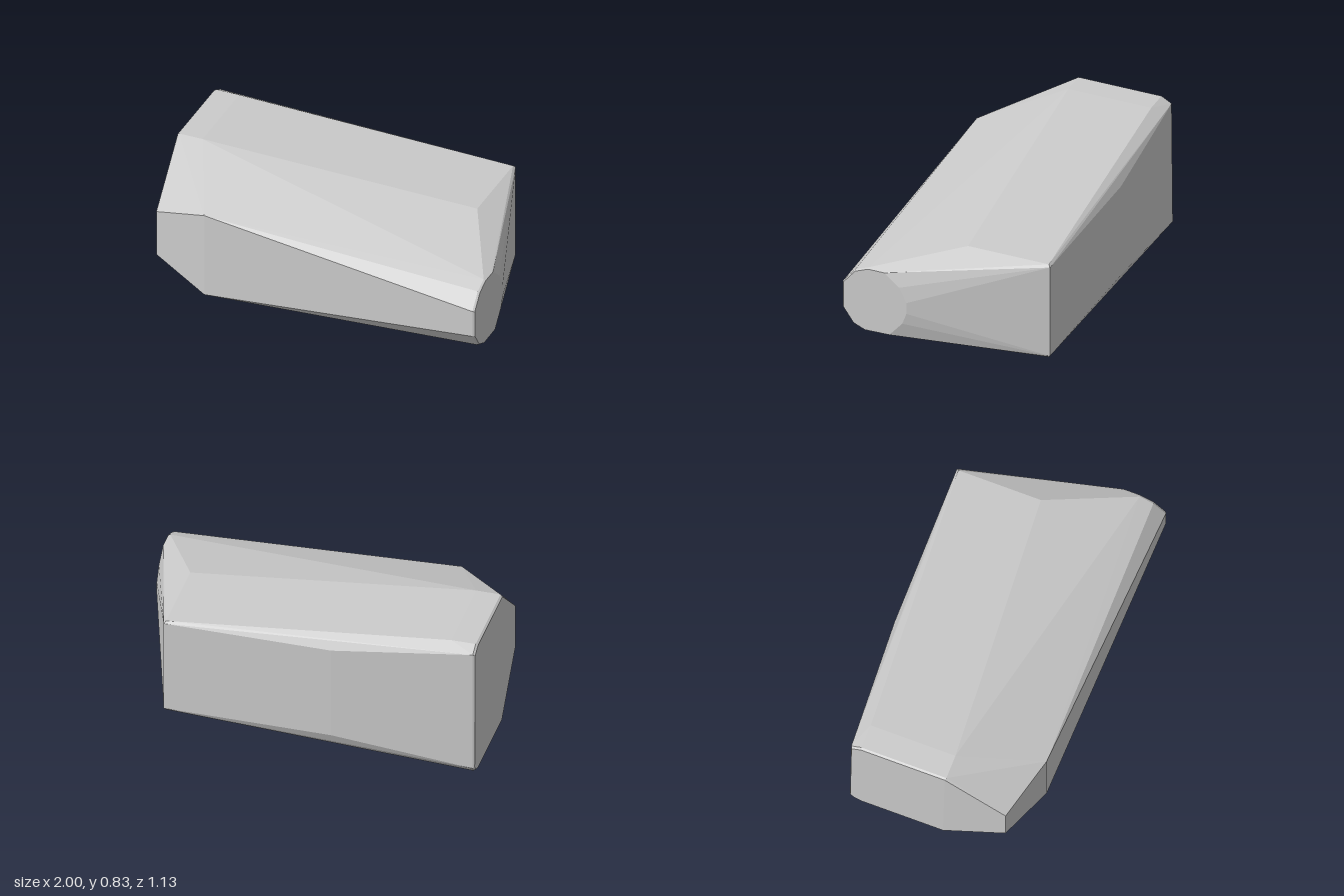
import * as THREE from 'three';
import { ConvexGeometry } from 'three/addons/geometries/ConvexGeometry.js';

export function createModel() {
  const group = new THREE.Group();
  const points = [];
  const add = (x, y, z) => points.push(new THREE.Vector3(x, y, z));

  // Adds an outline of [z, y] corners at x, shrunk about its middle.
  const ring = (x, corners, cz, cy, scale) => {
    for (const [z, y] of corners) add(x, cy + (y - cy) * scale, cz + (z - cz) * scale);
  };

  // Small faceted end, with a narrow bevel
  const smallEnd = [
    [0.563, 0.325], [0.563, 0.485], [0.49, 0.573], [0.41, 0.605], [0.31, 0.605],
    [0.22, 0.53], [0.175, 0.44], [0.175, 0.37], [0.2, 0.3], [0.28, 0.208],
    [0.43, 0.205], [0.5, 0.235],
  ];
  ring(0.988, smallEnd, 0.37, 0.405, 1);
  ring(1, smallEnd, 0.37, 0.405, 0.97);

  // Large end, with a narrow bevel
  const largeEnd = [
    [0.04, 0.828], [-0.455, 0.828], [-0.515, 0.795],
    [-0.522, 0.05], [-0.5, 0.02], [-0.455, 0.003], [0.03, 0.003],
  ];
  ring(-0.988, largeEnd, -0.24, 0.415, 1);
  ring(-1, largeEnd, -0.24, 0.415, 0.98);

  // Upper and lower ridges
  for (const [y0, y1, z] of [[0.828, 0.72, 0.04], [0.002, 0.134, 0.03]]) {
    add(-0.85, y0, z);
    add(-0.85, y0, -0.455);
    add(0.738, y1, -0.07);
    add(0.738, y1, -0.552);
  }

  // Back edge
  for (const y of [0.148, 0.708]) {
    add(0.748, y, -0.564);
    add(-0.2, y, -0.564);
  }

  // Sloping front shoulder
  for (const [outer, inner] of [[0.25, 0.14], [0.525, 0.648]]) {
    add(-0.975, outer, 0.38);
    add(-0.64, inner, 0.492);
  }

  const body = new THREE.Mesh(
    new ConvexGeometry(points),
    new THREE.MeshStandardMaterial({ color: 0xcccccc, flatShading: true })
  );
  body.name = 'facetedBody';
  group.add(body);
  return group;
}
